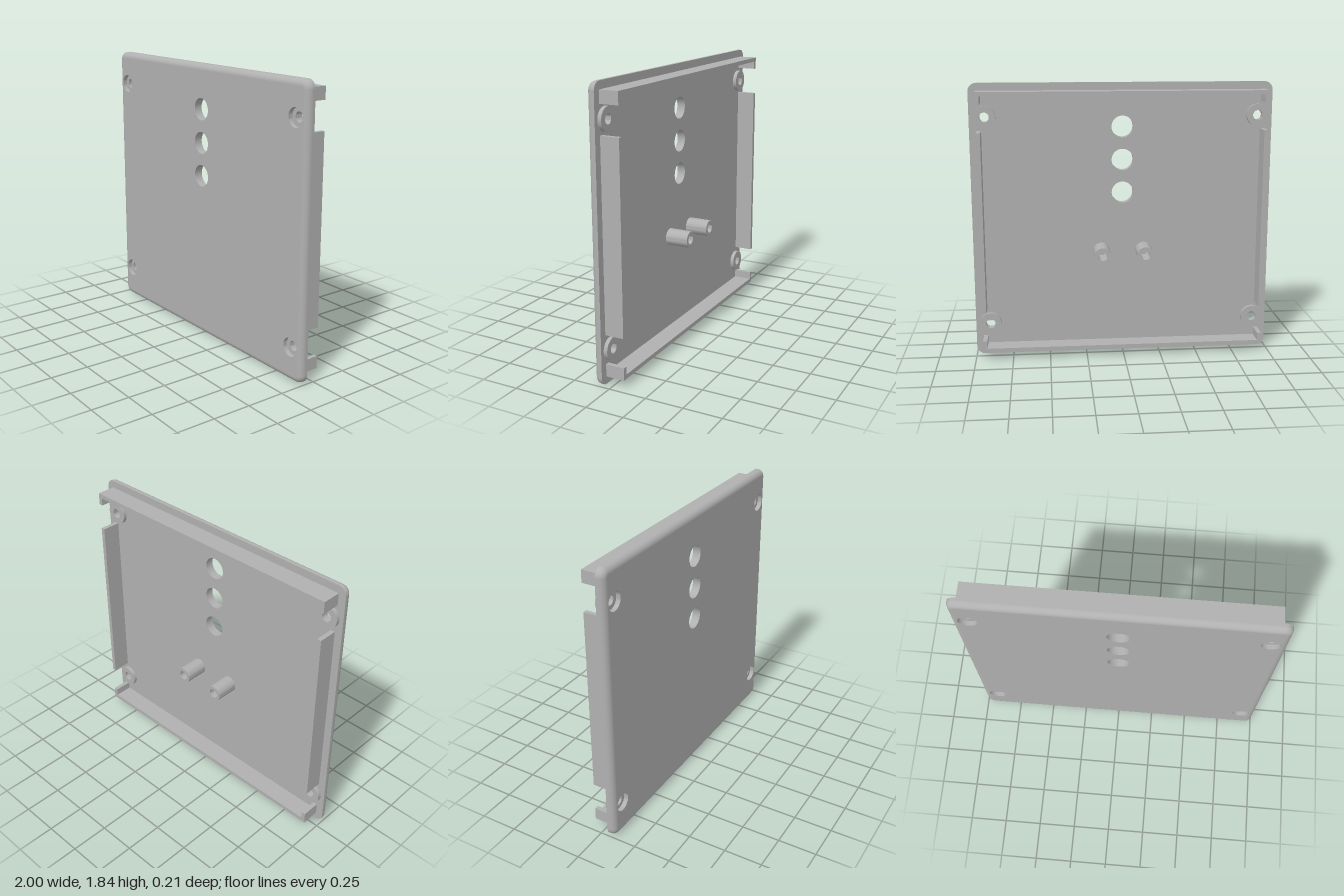
import * as THREE from 'three';
import { toCreasedNormals } from 'three/addons/utils/BufferGeometryUtils.js';

const H = 1.84, CY = H / 2;
const FRONT = 0.105, BACK = 0.05, RAIL_END = -0.075;
const CORNER = 0.055, FILLET = 0.04;
const lights = [1.11, 1.33, 1.55].map(y => [0, y]);
const screws = [[-0.9, 0.22], [0.9, 0.22], [-0.9, 1.62], [0.9, 1.62]];

// Outline of the plate, inset from its edge; each point carries its outward direction
function outline(inset) {
  const pts = [], n = 8, r = CORNER - inset;
  [[1, 1], [-1, 1], [-1, -1], [1, -1]].forEach(([sx, sy], c) => {
    for (let i = 0; i <= n; i++) {
      const a = (c + i / n) * Math.PI / 2, dx = Math.cos(a), dy = Math.sin(a);
      pts.push({ x: sx * (1 - CORNER) + r * dx, y: CY + sy * (CY - CORNER) + r * dy, dx, dy });
    }
  });
  return pts;
}

// Flat face of the plate with round openings
function face(inset, screwRadius) {
  const shape = new THREE.Shape(outline(inset).map(p => new THREE.Vector2(p.x, p.y)));
  const cut = ([x, y], r) => shape.holes.push(new THREE.Path().absarc(x, y, r, 0, Math.PI * 2, true));
  lights.forEach(p => cut(p, 0.072));
  screws.forEach(p => cut(p, screwRadius));
  return new THREE.ShapeGeometry(shape, 24);
}

// Straight edge wall followed by the rounded front edge
function rim() {
  const pos = [], nor = [], idx = [], steps = 8;
  const rings = [{ inset: 0, z: BACK, a: 0 }];
  for (let i = 0; i <= steps; i++) {
    const a = i / steps * Math.PI / 2;
    rings.push({ inset: FILLET * (1 - Math.cos(a)), z: FRONT - FILLET * (1 - Math.sin(a)), a });
  }
  let n = 0;
  rings.forEach(({ inset, z, a }) => {
    const pts = outline(inset);
    n = pts.length;
    pts.forEach(p => {
      pos.push(p.x, p.y, z);
      nor.push(p.dx * Math.cos(a), p.dy * Math.cos(a), Math.sin(a));
    });
  });
  for (let k = 0; k < rings.length - 1; k++) {
    for (let i = 0; i < n; i++) {
      const a = k * n + i, b = k * n + (i + 1) % n;
      idx.push(a, b, b + n, a, b + n, a + n);
    }
  }
  const g = new THREE.BufferGeometry();
  g.setAttribute('position', new THREE.Float32BufferAttribute(pos, 3));
  g.setAttribute('normal', new THREE.Float32BufferAttribute(nor, 3));
  g.setIndex(idx);
  return g;
}

// Turned part along z from [radius, z] pairs
function turned(profile) {
  const g = new THREE.LatheGeometry(profile.map(p => new THREE.Vector2(...p)), 40);
  return toCreasedNormals(g.rotateX(Math.PI / 2), 0.6);
}

export function createModel() {
  const group = new THREE.Group();
  group.name = 'coverPlate';
  const grey = new THREE.MeshStandardMaterial({ color: 0xb0b0b0, side: THREE.DoubleSide });
  grey.name = 'grey';
  const add = (name, geometry, x = 0, y = 0, z = 0) => {
    const m = new THREE.Mesh(geometry, grey);
    m.name = name;
    m.position.set(x, y, z);
    group.add(m);
  };

  // Plate
  add('plateFront', face(FILLET, 0.06), 0, 0, FRONT);
  add('plateBack', face(0, 0.06).rotateY(Math.PI), 0, 0, BACK);
  add('plateRim', rim());

  // Round window walls
  const windowWall = turned([[0.072, FRONT], [0.072, BACK]]);
  lights.forEach(([x, y]) => add('windowWall', windowWall, x, y));

  // Counterbored screw seats with bosses behind
  const seat = turned([[0.06, FRONT], [0.06, 0.075], [0.032, 0.075],
    [0.032, 0.025], [0.073, 0.025], [0.073, BACK]]);
  screws.forEach(([x, y]) => add('screwSeat', seat, x, y));

  // Hollow mounting posts
  const post = turned([[0, BACK - 0.002], [0.032, BACK - 0.002], [0.032, -0.105], [0.055, -0.105], [0.055, BACK]]);
  [-1, 1].forEach(s => add('mountingPost', post, s * 0.142, 0.71));

  // Side rails
  const depth = BACK - RAIL_END, zMid = (BACK + RAIL_END) / 2, t = 0.028;
  [-1, 1].forEach(s =>
    add('sideRail', new THREE.BoxGeometry(t, 1.21, depth), s * (0.95 - t / 2), 0.925, zMid));

  // Top and bottom rails with short returned ends
  [-1, 1].forEach(s => {
    const pts = [[-0.95, 0.87], [0.95, 0.87], [0.95, 0.79], [0.95 - t, 0.79],
      [0.95 - t, 0.87 - t], [t - 0.95, 0.87 - t], [t - 0.95, 0.79], [-0.95, 0.79]];
    const shape = new THREE.Shape(pts.map(([x, y]) => new THREE.Vector2(x, s * y)));
    add(s > 0 ? 'topRail' : 'bottomRail',
      new THREE.ExtrudeGeometry(shape, { depth, bevelEnabled: false }), 0, CY, RAIL_END);
  });
  return group;
}
